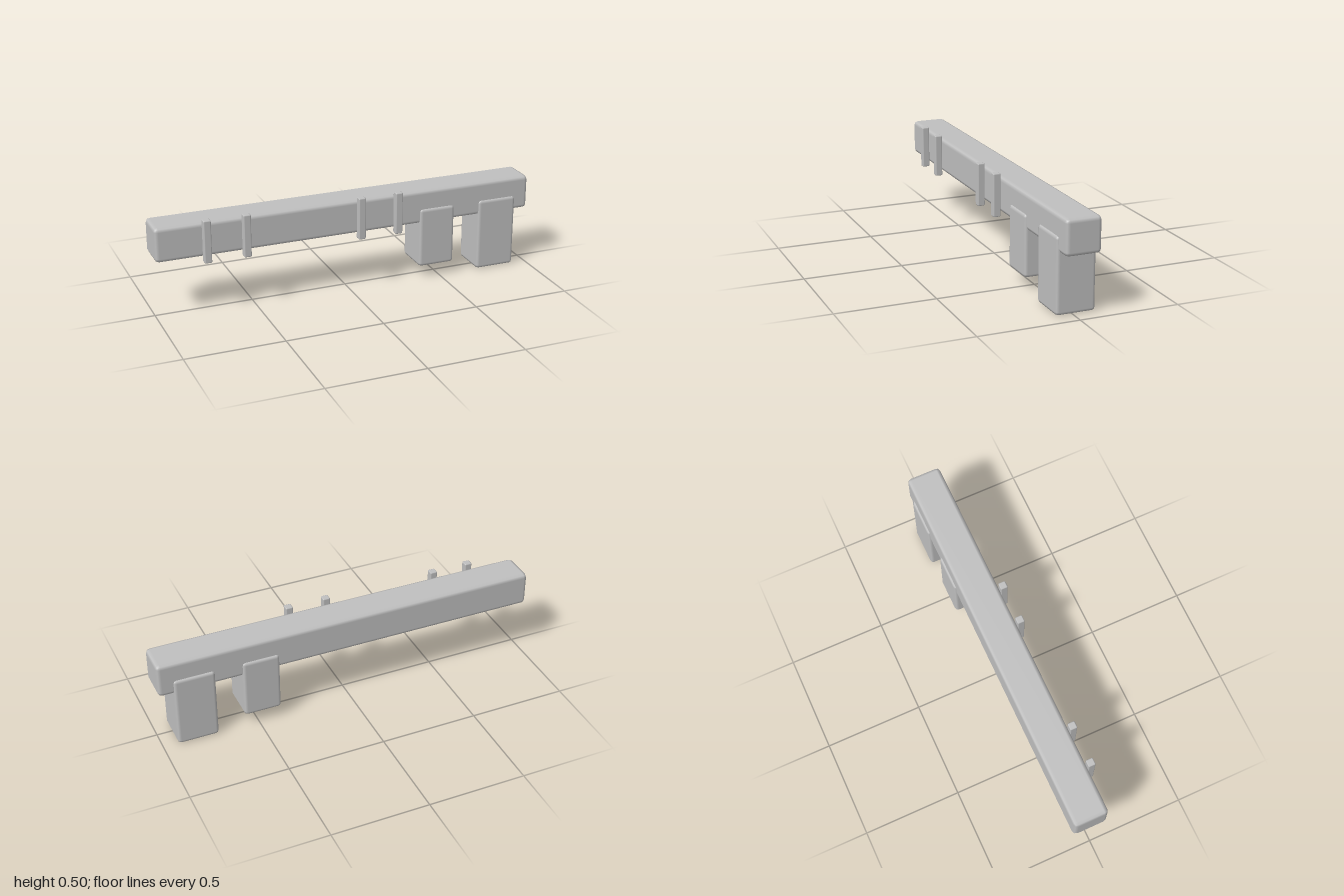
import * as THREE from 'three';
import { RoundedBoxGeometry } from 'three/addons/geometries/RoundedBoxGeometry.js';

export function createModel() {
  const group = new THREE.Group();
  const grey = new THREE.MeshStandardMaterial({ color: 0xc0c0c0 });
  grey.name = 'plain grey';

  // Rounded block given by its extents on each axis
  function block(name, [x0, x1], [y0, y1], [z0, z1], radius) {
    const geometry = new RoundedBoxGeometry(x1 - x0, y1 - y0, z1 - z0, 1, radius);
    const mesh = new THREE.Mesh(geometry, grey);
    mesh.name = name;
    mesh.position.set((x0 + x1) / 2, (y0 + y1) / 2, (z0 + z1) / 2);
    group.add(mesh);
  }

  // Long main bar
  block('bar', [-1, 1], [0.302, 0.48], [-0.104, 0.075], 0.021);

  // Two teeth hanging from the left end, the outer one longer
  block('innerTooth', [0.38, 0.575], [0.065, 0.382], [-0.115, 0.085], 0.018);
  block('outerTooth', [0.712, 0.925], [0, 0.382], [-0.115, 0.085], 0.018);

  // Thin upright strips along the front
  for (const x of [-0.75, -0.55, 0.05, 0.25]) {
    block('frontStrip', [x - 0.019, x + 0.019], [0.282, 0.502], [0.077, 0.115], 0.006);
  }

  return group;
}
